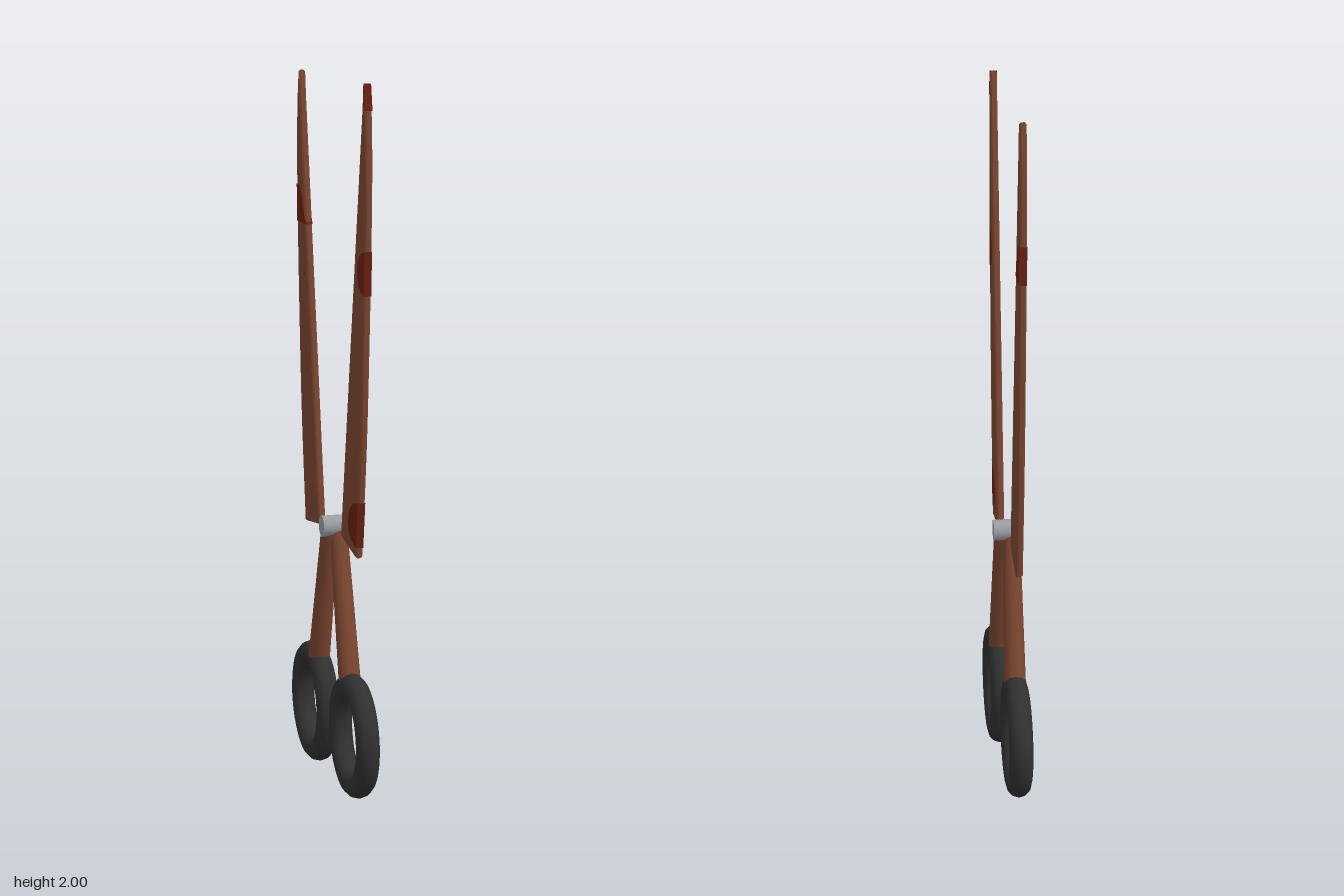
import * as THREE from 'three';

const mat = (name, color) => {
  const m = new THREE.MeshStandardMaterial({ color });
  m.name = name;
  return m;
};

export function createModel() {
  const rustySteel = mat('rustySteel', 0x7b4530);
  const deepRust = mat('deepRust', 0x6a2010);
  const blackGrip = mat('blackGrip', 0x303030);
  const pivotSteel = mat('pivotSteel', 0x989ca1);

  const model = new THREE.Group();
  model.name = 'openShears';
  const add = (parent, name, geometry, material) => {
    const mesh = new THREE.Mesh(geometry, material);
    mesh.name = name;
    parent.add(mesh);
    return mesh;
  };

  // Curved outer edge of a blade as (z, y), from heel to tip
  const outerEdge = new THREE.SplineCurve([
    [0.217, 0.705], [0.26, 1.02], [0.286, 1.34], [0.302, 1.63],
    [0.305, 1.79], [0.299, 1.91], [0.285, 2.0],
  ].map(p => new THREE.Vector2(...p))).getPoints(36);

  const outerAt = y => {
    for (let i = 1; i < outerEdge.length; i++) {
      const a = outerEdge[i - 1], b = outerEdge[i];
      if (y <= b.y) return a.x + (b.x - a.x) * (y - a.y) / (b.y - a.y);
    }
    return outerEdge[outerEdge.length - 1].x;
  };

  // Plate in the y-z plane, centred on x = 0
  const plate = (points, thickness, bevel) => {
    const shape = new THREE.Shape(points);
    const geo = new THREE.ExtrudeGeometry(shape, {
      depth: thickness - 2 * bevel, bevelEnabled: bevel > 0, bevelThickness: bevel,
      bevelSize: bevel * 0.8, bevelOffset: -bevel * 0.8, bevelSegments: 1,
    });
    geo.translate(0, 0, -(thickness - 2 * bevel) / 2);
    return geo.rotateY(-Math.PI / 2);
  };

  // Rounded rust stain that eats in from the outer edge
  const stain = (y0, y1, depth) => {
    const pts = [], n = 10;
    for (let i = 0; i <= n; i++) {
      const y = y0 + (y1 - y0) * i / n;
      pts.push(new THREE.Vector2(outerAt(y) + 0.001, y));
    }
    for (let i = n - 1; i > 0; i--) {
      const t = i / n * 2 - 1, y = y0 + (y1 - y0) * i / n;
      pts.push(new THREE.Vector2(outerAt(y) - depth * Math.sqrt(1 - t * t), y));
    }
    return pts;
  };
  const poly = list => list.map(p => new THREE.Vector2(...p));

  const bladeOutline = [...outerEdge, ...poly([[0.272, 1.93], [0.063, 0.73]])];
  const stains = {
    1: [
      stain(1.44, 1.56, 0.068), stain(0.735, 0.865, 0.088),
      poly([[0.3, 1.93], [0.286, 2.0], [0.283, 1.985], [0.29, 1.945]]),
    ],
    '-1': [
      poly([[0.301, 1.57], [0.305, 1.675], [0.27, 1.675], [0.24, 1.63], [0.207, 1.57]]),
      poly([[0.228, 1.428], [0.222, 1.434], [0.215, 1.428], [0.222, 1.422]]),
    ],
  };

  // Two opposed halves: blade, shank and finger ring
  for (const s of [1, -1]) {
    const half = new THREE.Group();
    half.name = s > 0 ? 'frontHalf' : 'rearHalf';
    half.position.x = s > 0 ? 0.0105 : -0.0125;
    model.add(half);

    const place = pts => pts.map(p => new THREE.Vector2(s > 0 ? p.x : -p.x - 0.023, p.y));
    add(half, 'blade', plate(place(bladeOutline), 0.02, 0.005), rustySteel);
    stains[s].forEach(pts => add(half, 'rustStain', plate(place(pts), 0.021, 0), deepRust));

    // Tapered round shank
    const top = new THREE.Vector3(0, 0.745, 0), low = new THREE.Vector3(0, 0.32, s * 0.125);
    const dir = top.clone().sub(low);
    const shank = add(half, 'shank',
      new THREE.CylinderGeometry(0.025, 0.031, dir.length(), 20), rustySteel);
    shank.position.copy(top).add(low).multiplyScalar(0.5);
    shank.quaternion.setFromUnitVectors(new THREE.Vector3(0, 1, 0), dir.normalize());

    // Finger ring
    const ring = add(half, 'fingerRing',
      new THREE.TorusGeometry(0.142, 0.034, 12, 48).rotateY(Math.PI / 2), blackGrip);
    ring.position.set(0, 0.18, s * 0.168);
  }

  // Pivot pin
  const pin = add(model, 'pivotPin',
    new THREE.CylinderGeometry(0.03, 0.03, 0.076, 32).rotateZ(Math.PI / 2), pivotSteel);
  pin.position.y = 0.746;

  return model;
}
